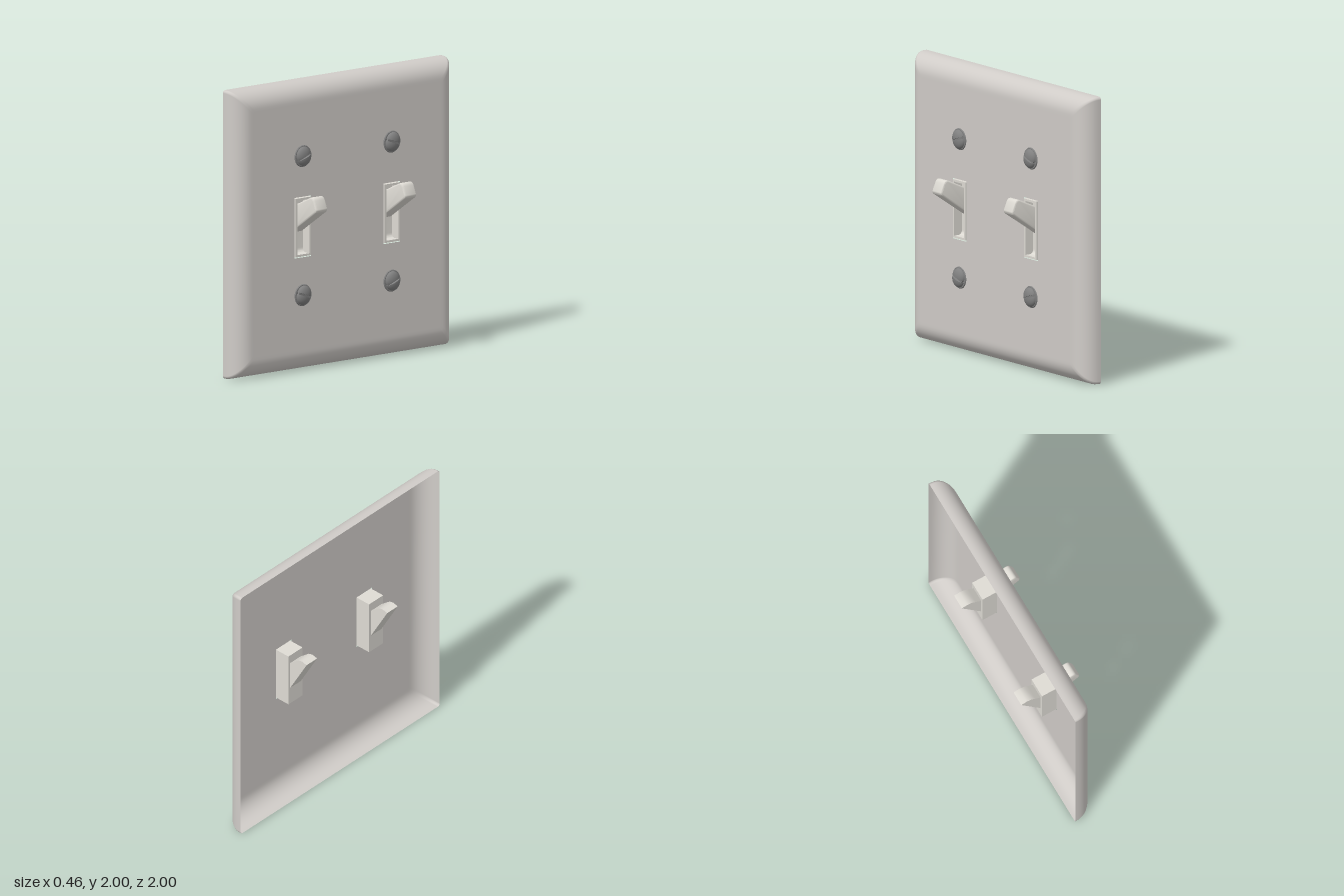
import * as THREE from 'three';
import { toCreasedNormals } from 'three/addons/utils/BufferGeometryUtils.js';

const mat = (name, color, side = THREE.FrontSide) => {
  const m = new THREE.MeshStandardMaterial({ color, side });
  m.name = name;
  return m;
};

function mesh(name, geometry, material) {
  const m = new THREE.Mesh(geometry, material);
  m.name = name;
  return m;
}

// Rounded square outline as [horizontal, vertical] pairs, counter-clockwise
function outline(half, radius) {
  const points = [];
  for (let corner = 0; corner < 4; corner++) {
    const base = corner * Math.PI / 2;
    const cx = Math.sign(Math.cos(base + Math.PI / 4)) * (half - radius);
    const cy = Math.sign(Math.sin(base + Math.PI / 4)) * (half - radius);
    for (let i = 0; i <= 4; i++) {
      const a = base + i * Math.PI / 8;
      points.push([cx + radius * Math.cos(a), cy + radius * Math.sin(a)]);
    }
  }
  return points;
}

// Open-backed shell: outline rings swept along a rounded edge profile
function plateRim() {
  const profile = [[-0.12, 0], [-0.1, 0]];
  for (let i = 1; i <= 10; i++) {
    const a = i / 10 * Math.PI / 2;
    profile.push([-0.1 + 0.13 * Math.sin(a), 0.13 * (1 - Math.cos(a))]);
  }
  profile.push([0.03, 0.15]);
  const pos = [], index = [];
  let n = 0;
  for (const [x, inset] of profile) {
    const ring = outline(1 - inset, 0.02);
    n = ring.length;
    for (const [h, v] of ring) pos.push(x, 1 + v, -h);
  }
  for (let r = 0; r < profile.length - 1; r++) {
    for (let i = 0; i < n; i++) {
      const a = r * n + i, b = r * n + (i + 1) % n;
      index.push(a, b, b + n, a, b + n, a + n);
    }
  }
  const g = new THREE.BufferGeometry();
  g.setAttribute('position', new THREE.Float32BufferAttribute(pos, 3));
  g.setIndex(index);
  g.computeVertexNormals();
  return g;
}

// Flat front with two switch openings
function plateFace() {
  const shape = new THREE.Shape(outline(0.85, 0.02).map(([h, v]) => new THREE.Vector2(h, 1 + v)));
  for (const c of [-0.405, 0.405]) {
    const w = 0.077;
    shape.holes.push(new THREE.Path([[c - w, 0.79], [c - w, 1.21], [c + w, 1.21], [c + w, 0.79]]
      .map(p => new THREE.Vector2(...p))));
  }
  return new THREE.ShapeGeometry(shape).rotateY(Math.PI / 2).translate(0.03, 0, 0);
}

// Side profile [x, y, cornerRadius] extruded across z
function sideProfile(points, width, bevel = 0) {
  const shape = new THREE.Shape();
  points.forEach(([x, y, r = 0], i) => {
    const p = new THREE.Vector2(x, y);
    const toward = q => p.clone().add(new THREE.Vector2(q[0] - x, q[1] - y).setLength(r));
    const a = toward(points[(i + points.length - 1) % points.length]);
    const b = toward(points[(i + 1) % points.length]);
    if (i === 0) shape.moveTo(a.x, a.y); else shape.lineTo(a.x, a.y);
    if (r) shape.quadraticCurveTo(x, y, b.x, b.y);
  });
  shape.closePath();
  const g = new THREE.ExtrudeGeometry(shape, {
    depth: width - 2 * bevel, curveSegments: 6, bevelEnabled: bevel > 0,
    bevelSize: bevel, bevelThickness: bevel, bevelOffset: -bevel, bevelSegments: 3,
  }).translate(0, 0, -width / 2 + bevel);
  return toCreasedNormals(g, 0.6);
}

function makeSwitch(material) {
  const g = new THREE.Group();
  g.name = 'toggleSwitch';
  // Hollow housing with a rounded recess floor
  g.add(mesh('housing', sideProfile([
    [-0.08, 0.797], [0.036, 0.797], [0.036, 0.812], [-0.03, 0.812, 0.035],
    [-0.03, 1.188], [0.036, 1.188], [0.036, 1.203], [-0.08, 1.203],
  ], 0.11), material));
  for (const s of [-1, 1]) {
    const wall = mesh('housingWall', new THREE.BoxGeometry(0.116, 0.406, 0.016), material);
    wall.position.set(-0.022, 1, s * 0.063);
    g.add(wall);
  }
  // Lever at the front, actuator tail behind
  g.add(mesh('lever', sideProfile([
    [-0.04, 0.953], [0.03, 1.0], [0.235, 1.137, 0.025], [0.19, 1.24, 0.035], [0.03, 1.168], [-0.04, 1.138],
  ], 0.106, 0.012), material));
  g.add(mesh('leverTail', sideProfile([
    [-0.07, 0.91], [-0.07, 1.13], [-0.12, 1.17], [-0.155, 1.198], [-0.19, 1.206], [-0.232, 1.196],
  ], 0.106), material));
  return g;
}

function makeScrew(material, slotMaterial) {
  const screw = new THREE.Group(), head = new THREE.Group();
  screw.name = 'screw';
  head.name = 'screwHead';
  head.rotation.z = -Math.PI / 2;
  screw.add(head);
  const rim = mesh('screwRim', new THREE.CylinderGeometry(0.072, 0.076, 0.007, 40), material);
  rim.position.y = 0.0045;
  head.add(rim);
  // Domed head in two halves, with the driver slot between them
  const arc = [];
  for (let i = 0; i <= 8; i++) {
    const a = i / 8 * Math.PI / 2;
    arc.push(new THREE.Vector2(0.061 * Math.cos(a), 0.006 + 0.034 * Math.sin(a)));
  }
  const section = new THREE.Shape([...arc, ...arc.slice(0, -1).reverse().map(p => new THREE.Vector2(-p.x, p.y))]);
  for (const turn of [0, Math.PI]) {
    const half = new THREE.Group();
    half.name = 'domeHalf';
    half.rotation.y = turn;
    const dome = mesh('dome', new THREE.LatheGeometry(arc, 20, 0, Math.PI), material);
    const wall = mesh('slotWall', new THREE.ShapeGeometry(section).rotateY(-Math.PI / 2), slotMaterial);
    dome.position.x = wall.position.x = 0.007;
    half.add(dome, wall);
    head.add(half);
  }
  const floor = mesh('slotFloor', new THREE.BoxGeometry(0.014, 0.016, 0.11), material);
  floor.position.y = 0.014;
  head.add(floor);
  return screw;
}

export function createModel() {
  const plate = mat('plate grey', 0xd0ccc8, THREE.DoubleSide);
  const toggle = mat('toggle ivory', 0xdedbd4);
  const metal = mat('screw metal', 0x808080);
  const slot = mat('screw slot metal', 0x808080, THREE.DoubleSide);

  const model = new THREE.Group();
  model.name = 'doubleSwitchPlate';
  model.add(mesh('plateRim', plateRim(), plate), mesh('plateFace', plateFace(), plate));

  for (const side of [-1, 1]) {
    const unit = makeSwitch(toggle);
    unit.position.z = side * 0.405;
    model.add(unit);
    for (const level of [-1, 1]) {
      const screw = makeScrew(metal, slot);
      screw.position.set(0.03, 1.01 + level * 0.482, side * 0.405);
      screw.rotation.x = side * level * 0.36;
      model.add(screw);
    }
  }
  return model;
}
